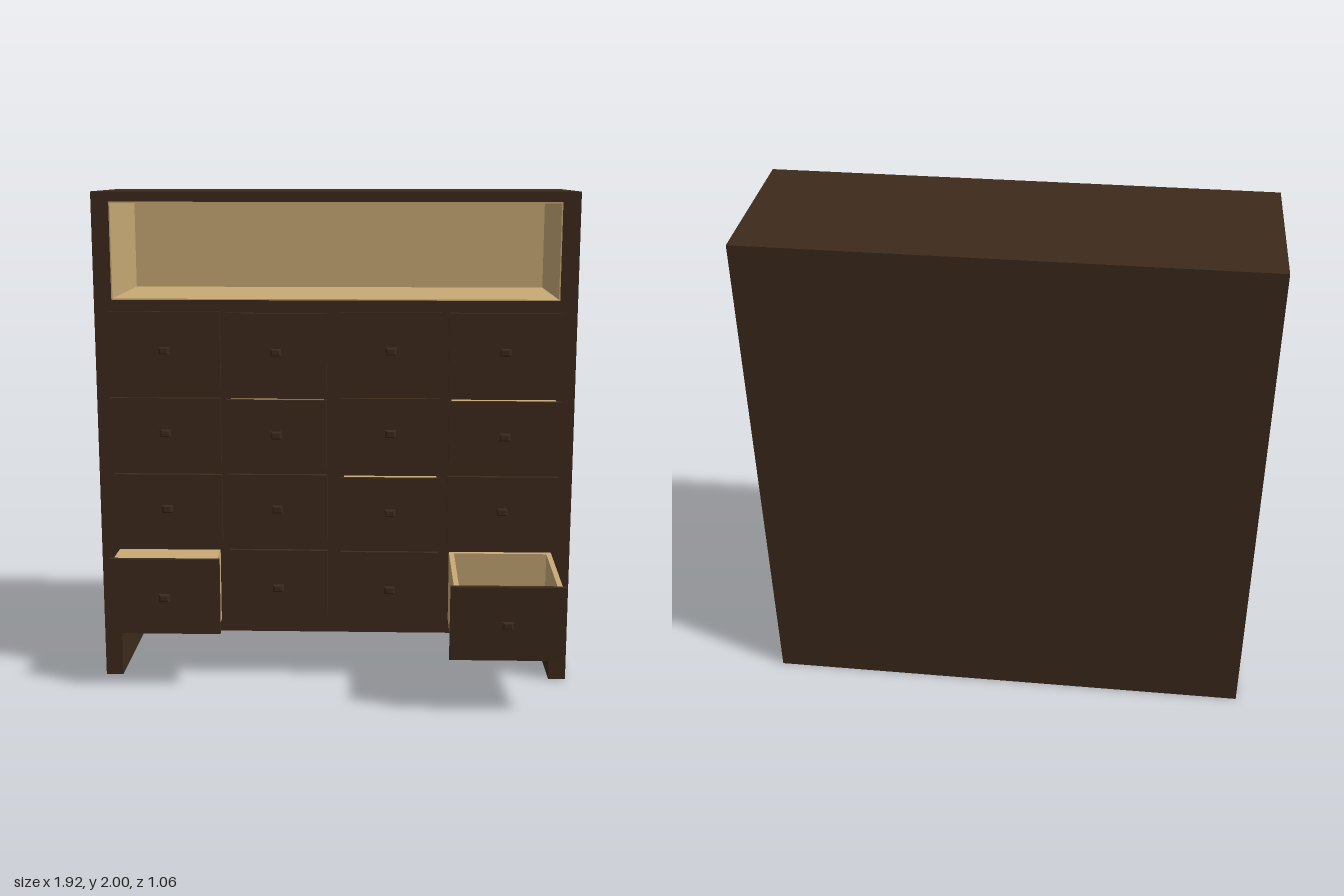
import * as THREE from 'three';

const dark = new THREE.MeshStandardMaterial({ color: 0x3d2a1c, flatShading: true });
const pale = new THREE.MeshStandardMaterial({ color: 0xc8aa76, flatShading: true });

// Box given by its minimum and maximum on each axis
function box(parent, name, mat, [x0, x1], [y0, y1], [z0, z1]) {
  const mesh = new THREE.Mesh(new THREE.BoxGeometry(x1 - x0, y1 - y0, z1 - z0), mat);
  mesh.position.set((x0 + x1) / 2, (y0 + y1) / 2, (z0 + z1) / 2);
  mesh.name = name;
  parent.add(mesh);
  return mesh;
}

// Four-sided knob turned to point forwards
function knobGeometry() {
  const profile = [[0.009, 0], [0.009, 0.007], [0.017, 0.009], [0.022, 0.014], [0.022, 0.019], [0.014, 0.025], [0, 0.025]]
    .map(([r, y]) => new THREE.Vector2(r * Math.SQRT2, y));
  return new THREE.LatheGeometry(profile, 4, Math.PI / 4).rotateX(Math.PI / 2).scale(1, 0.7, 1);
}

// Drawer whose origin is the middle of its outer front face
function makeDrawer(w, h, depth, open, knobGeo) {
  const drawer = new THREE.Group();
  const bx = w / 2 - 0.013, by = h / 2 - 0.006, t = 0.02;
  box(drawer, 'drawerFront', dark, [-w / 2, w / 2], [-h / 2, h / 2], [-t, 0]);
  if (open) {
    const z = [-depth, -t];
    box(drawer, 'drawerBottom', pale, [-bx, bx], [-by, -by + t], z);
    for (const s of [-1, 1]) {
      const edge = [s * bx, s * (bx - t)].sort((a, b) => a - b);
      box(drawer, 'drawerSide', pale, edge, [-by + t, by], z);
    }
    box(drawer, 'drawerBack', pale, [-bx + t, bx - t], [-by + t, by], [-depth, -depth + t]);
  } else {
    box(drawer, 'drawerBody', pale, [-bx, bx], [-by, by], [-depth, -t]);
  }
  const knob = new THREE.Mesh(knobGeo, dark);
  knob.name = 'knob';
  drawer.add(knob);
  return drawer;
}

export function createModel() {
  const model = new THREE.Group();
  model.name = 'drawerCabinet';

  // Carcass: sides, top, back and the block that holds the drawers
  const carcass = new THREE.Group();
  carcass.name = 'carcass';
  model.add(carcass);
  const zs = [-0.46, 0.1];
  box(carcass, 'leftSide', dark, [0.89, 0.96], [0, 2], [-0.53, 0.1]);
  box(carcass, 'rightSide', dark, [-0.96, -0.89], [0, 2], [-0.53, 0.1]);
  box(carcass, 'topPanel', dark, [-0.89, 0.89], [1.96, 2], [-0.53, 0.1]);
  box(carcass, 'backPanel', dark, [-0.89, 0.89], [0, 1.96], [-0.53, -0.46]);
  box(carcass, 'drawerCase', dark, [-0.89, 0.89], [0.205, 1.575], zs);

  // Pale lining of the open shelf
  const lining = new THREE.Group();
  lining.name = 'shelfLining';
  model.add(lining);
  box(lining, 'shelfFloor', pale, [-0.89, 0.89], [1.575, 1.58], [-0.46, 0.099]);
  box(lining, 'shelfCeiling', pale, [-0.89, 0.89], [1.955, 1.96], [-0.46, 0.099]);
  box(lining, 'shelfBack', pale, [-0.885, 0.885], [1.58, 1.955], [-0.46, -0.455]);
  box(lining, 'shelfLeft', pale, [0.885, 0.89], [1.58, 1.955], [-0.46, 0.099]);
  box(lining, 'shelfRight', pale, [-0.89, -0.885], [1.58, 1.955], [-0.46, 0.099]);

  // Four by four drawers, each pulled out by its own amount
  const columns = [[-0.9, -0.457], [-0.43, -0.03], [0.025, 0.425], [0.455, 0.897]];
  const rows = [[1.223, 1.53], [0.906, 1.185], [0.59, 0.87], [0.242, 0.553]];
  const frontZ = [
    [0.12, 0.165, 0.118, 0.14],
    [0.138, 0.17, 0.125, 0.185],
    [0.13, 0.125, 0.172, 0.14],
    [0.27, 0.125, 0.14, 0.503],
  ];
  const knobGeo = knobGeometry();
  rows.forEach(([y0, y1], r) => columns.forEach(([x0, x1], c) => {
    const z = frontZ[r][c], open = z > 0.4;
    const drawer = makeDrawer(x1 - x0, open ? 0.3 : y1 - y0, z - 0.09, open, knobGeo);
    drawer.name = `drawerRow${r + 1}Column${c + 1}`;
    drawer.position.set((x0 + x1) / 2, open ? 0.376 : (y0 + y1) / 2, z);
    if (open) drawer.rotation.x = 0.065; // the open drawer sags
    model.add(drawer);
  }));
  return model;
}
